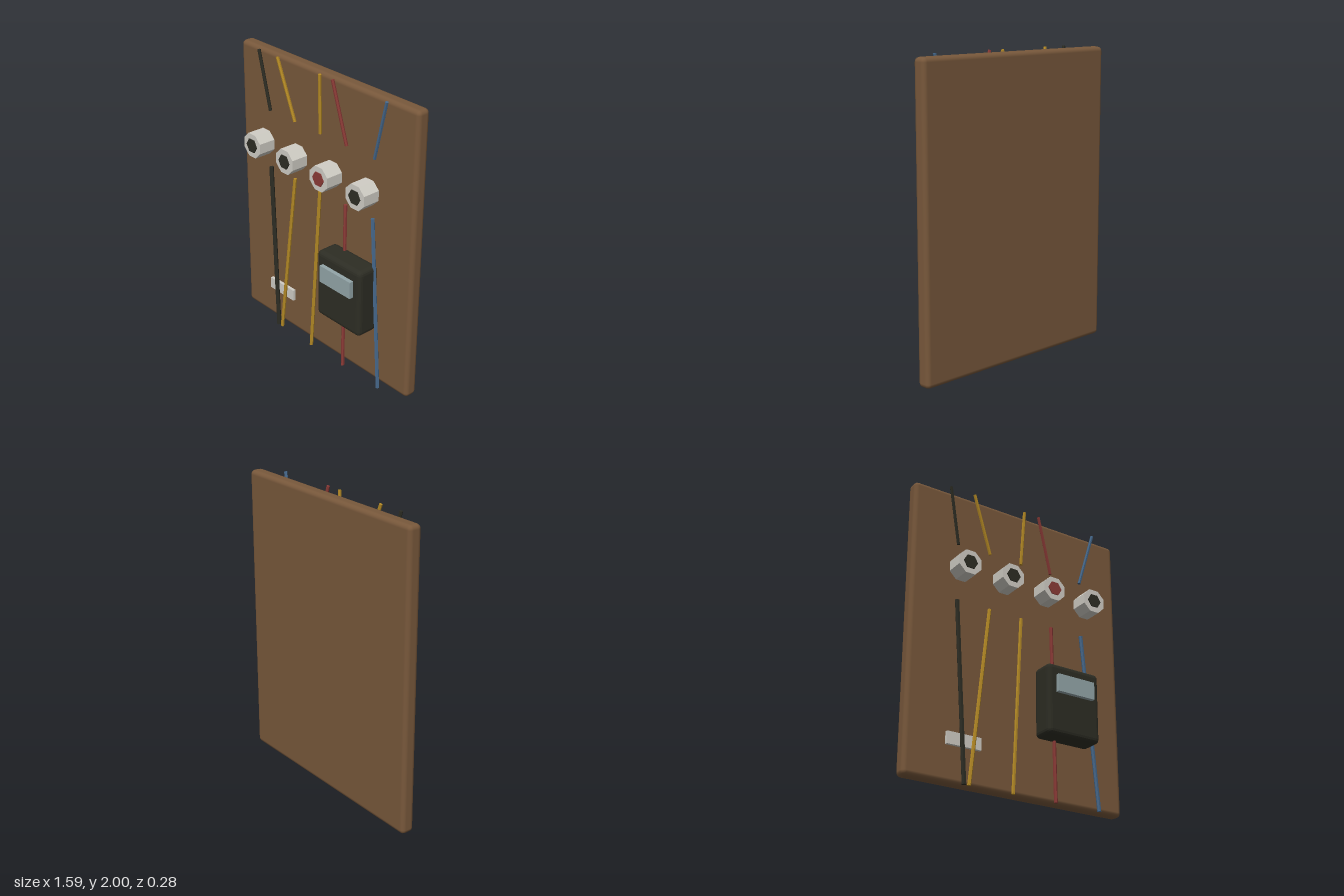
import * as THREE from 'three';
import { RoundedBoxGeometry } from 'three/addons/geometries/RoundedBoxGeometry.js';

function material(name, color, flatShading = false) {
  const m = new THREE.MeshStandardMaterial({ color, flatShading });
  m.name = name;
  return m;
}

export function createModel() {
  const group = new THREE.Group();
  group.name = 'wiringBoard';

  const wood = material('brown wood', 0x78583b);
  const black = material('black', 0x2d2d24, true);
  const white = material('off white', 0xd0cdc5, true);
  const yellow = material('yellow', 0xb58a25, true);
  const red = material('red', 0x8a3a36, true);
  const blue = material('blue', 0x45678a, true);
  const glass = material('pale glass', 0x93a5a8, true);

  function add(name, geometry, mat, x, y, z) {
    const mesh = new THREE.Mesh(geometry, mat);
    mesh.name = name;
    mesh.position.set(x, y, z);
    group.add(mesh);
    return mesh;
  }

  // Straight six-sided wire between two points
  function wire(name, mat, a, b, radius) {
    const dir = b.clone().sub(a);
    const mid = a.clone().add(b).multiplyScalar(0.5);
    const mesh = add(name, new THREE.CylinderGeometry(radius, radius, dir.length(), 6), mat, mid.x, mid.y, mid.z);
    mesh.quaternion.setFromUnitVectors(new THREE.Vector3(0, 1, 0), dir.normalize());
  }

  // Backing board with rounded edges
  add('board', new RoundedBoxGeometry(1.59, 1.98, 0.094, 2, 0.03), wood, 0, 1, -0.094);

  // Octagonal fuse holders with hexagonal caps
  const holder = new THREE.CylinderGeometry(0.0866, 0.0866, 0.12, 8, 1, false, Math.PI / 8).rotateX(Math.PI / 2);
  const cap = new THREE.CylinderGeometry(0.05, 0.05, 0.03, 6, 1, false, Math.PI / 6).rotateX(Math.PI / 2);
  [[-0.48, black], [-0.16, black], [0.16, red], [0.48, black]].forEach(([x, mat], i) => {
    add('fuseHolder' + (i + 1), holder, white, x, 1.4, 0.076);
    add('fuseCap' + (i + 1), cap, mat, x, 1.4, 0.127);
  });

  // Wires: material, x at top edge, x beside the fuses, x at bottom edge, radii
  const wires = [
    [black, -0.557, -0.48, -0.41, 0.011, 0.015],
    [yellow, -0.377, -0.24, -0.375, 0.011, 0.012],
    [yellow, 0.016, 0, -0.067, 0.011, 0.012],
    [red, 0.13, 0.237, 0.247, 0.011, 0.012],
    [blue, 0.585, 0.478, 0.58, 0.011, 0.013],
  ];
  wires.forEach(([mat, top, mid, bottom, r1, r2], i) => {
    wire('upperWire' + (i + 1), mat, new THREE.Vector3(top, 1.998, -0.002), new THREE.Vector3(mid, 1.6, -0.022), r1);
    wire('lowerWire' + (i + 1), mat, new THREE.Vector3(mid, 1.2, -0.02), new THREE.Vector3(bottom, 0.003, -0.003), r2);
  });

  // Meter box with raised display
  add('meterBox', new RoundedBoxGeometry(0.396, 0.474, 0.16, 2, 0.03), black, 0.317, 0.642, 0.034);
  add('meterDisplay', new THREE.BoxGeometry(0.278, 0.118, 0.04), glass, 0.318, 0.742, 0.122);

  // Small label plate
  add('labelPlate', new THREE.BoxGeometry(0.24, 0.08, 0.03), white, -0.4, 0.284, -0.041);

  return group;
}
